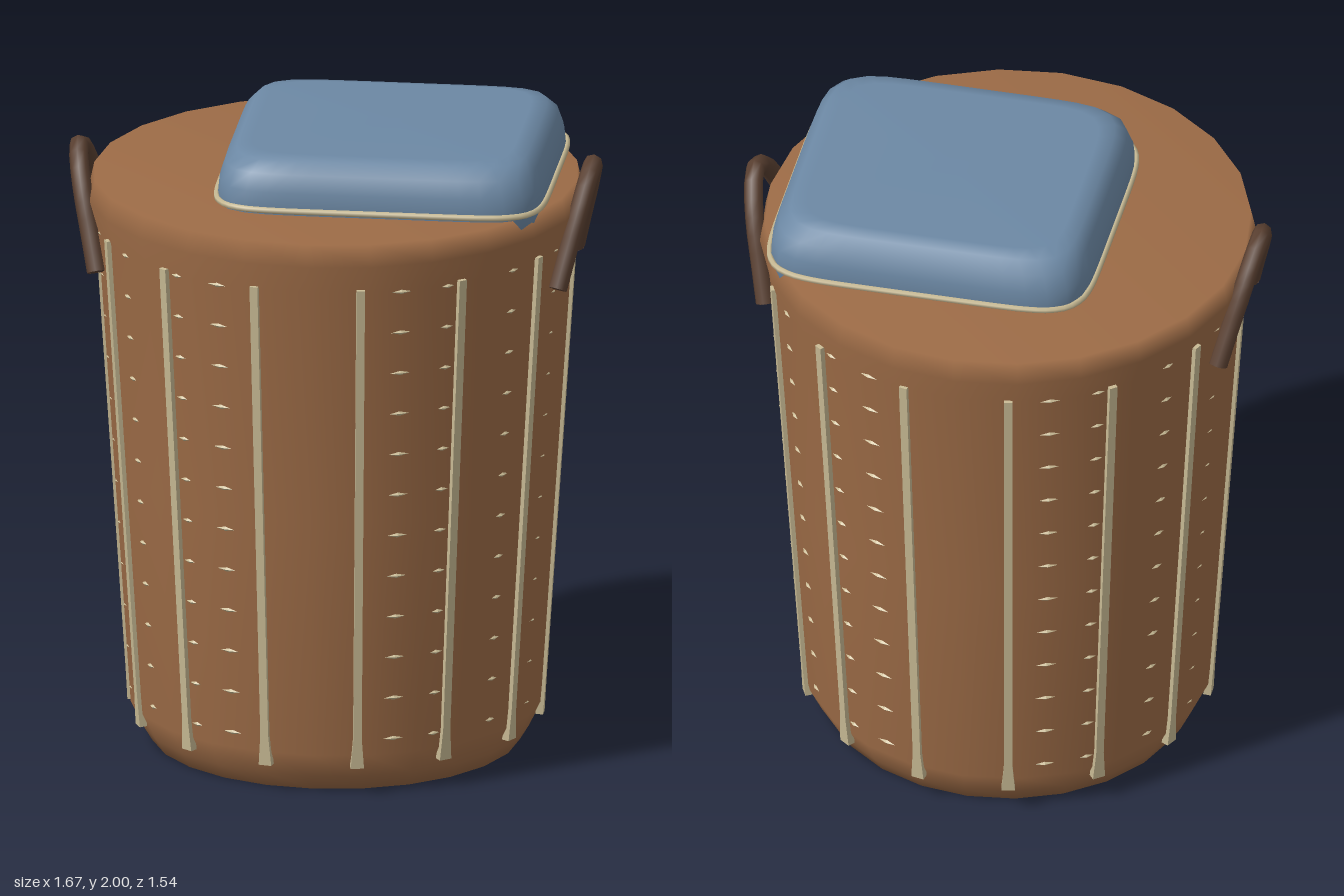
import * as THREE from 'three';

const mat = (color) => new THREE.MeshStandardMaterial({ color, side: THREE.DoubleSide });
const wicker = mat(0x9c6b46), cane = mat(0xc8ba94), leather = mat(0x5a4031), cloth = mat(0x6c88a4);

// Outer radius of the tapering wall at height y
const wallRadius = (y) => 0.643 + (y - 0.13) * 0.0665;

// Rounded-rectangle outline point (superellipse), t in 0..1
function outline(t, halfX, halfZ, y, target = new THREE.Vector3()) {
  const a = t * Math.PI * 2, c = Math.cos(a), s = Math.sin(a), n = 7;
  const k = (Math.abs(c) ** n + Math.abs(s) ** n) ** (-1 / n);
  return target.set(c * k * halfX, y, -s * k * halfZ);
}

function add(parent, name, geometry, material) {
  const mesh = new THREE.Mesh(geometry, material);
  mesh.name = name;
  parent.add(mesh);
  return mesh;
}

// Puffed cushion lofted from rounded-rectangle sections
function cushionGeometry() {
  const rings = [[0, 1.69], [0.78, 1.69], [0.86, 1.7], [0.93, 1.735], [0.965, 1.79], [0.98, 1.845],
    [0.97, 1.9], [0.935, 1.955], [0.87, 1.99], [0.78, 2], [0, 2]];
  const sides = 64, pos = [], index = [], p = new THREE.Vector3();
  rings.forEach(([s, y], r) => {
    const inset = 1 - s;
    for (let i = 0; i < sides; i++) {
      outline(i / sides, s && 0.52 - inset * 0.5, s && 0.48 - inset * 0.5, y, p);
      pos.push(p.x, p.y, p.z);
      if (r === rings.length - 1) continue;
      const a = r * sides + i, b = r * sides + (i + 1) % sides;
      index.push(a, b, b + sides, a, b + sides, a + sides);
    }
  });
  const g = new THREE.BufferGeometry();
  g.setAttribute('position', new THREE.Float32BufferAttribute(pos, 3));
  g.setIndex(index);
  g.computeVertexNormals();
  return g;
}

// Upright cane with a flared foot
function caneGeometry() {
  const g = new THREE.BoxGeometry(0.026, 1.594, 0.024, 1, 16, 1);
  const p = g.attributes.position;
  for (let i = 0; i < p.count; i++) {
    const foot = THREE.MathUtils.clamp((-0.74 - p.getY(i)) / 0.05, 0, 1);
    p.setX(i, p.getX(i) * (1 + 0.6 * foot));
  }
  return g;
}

// Bent leather loop with closed ends
function handle() {
  const group = new THREE.Group();
  const half = [[0.72, 1.545, 0.23], [0.745, 1.65, 0.185], [0.775, 1.77, 0.13], [0.795, 1.855, 0.065]];
  const pts = [...half, [0.803, 1.885, 0], ...half.map(([x, y, z]) => [x, y, -z]).reverse()]
    .map((p) => new THREE.Vector3(...p));
  const curve = new THREE.CatmullRomCurve3(pts);
  add(group, 'handleLoop', new THREE.TubeGeometry(curve, 16, 0.03, 8), leather);
  for (const t of [0, 1]) {
    const cap = add(group, 'handleEnd', new THREE.CircleGeometry(0.03, 8), leather);
    cap.position.copy(curve.getPoint(t));
    cap.lookAt(curve.getPoint(t).addScaledVector(curve.getTangent(t), t ? 1 : -1));
  }
  return group;
}

export function createModel() {
  const model = new THREE.Group();
  model.name = 'basket';

  // Basket body, closed at top and bottom
  const profile = [[0, 0], [0.575, 0], [0.605, 0.05], [0.643, 0.13], [0.694, 0.9], [0.745, 1.67],
    [0.77, 1.76], [0.755, 1.83], [0, 1.83]].map(([r, y]) => new THREE.Vector2(r, y));
  add(model, 'body', new THREE.LatheGeometry(profile, 24), wicker);

  // Fourteen upright canes
  const canes = new THREE.Group();
  canes.name = 'canes';
  model.add(canes);
  const caneShape = caneGeometry();
  for (let i = 0; i < 14; i++) {
    const spoke = new THREE.Group();
    spoke.rotation.y = Math.PI / 2 + (i / 14) * Math.PI * 2;
    const mesh = add(spoke, 'cane', caneShape, cane);
    mesh.position.set(0, 0.885, wallRadius(0.885) - 0.003);
    mesh.rotation.x = Math.atan(0.0665);
    canes.add(spoke);
  }

  // Short weave stitches showing between the canes
  const stitches = new THREE.Group();
  stitches.name = 'stitches';
  model.add(stitches);
  const stitchShape = new THREE.OctahedronGeometry(1);
  for (let row = 0; row < 12; row++) {
    const y = 0.18 + row * 0.135;
    for (const deg of [16, 35, 55, 67]) {
      for (const a of [deg, 180 - deg, 180 + deg, 360 - deg]) {
        const t = THREE.MathUtils.degToRad(a), r = wallRadius(y) * 0.993;
        const mesh = add(stitches, 'stitch', stitchShape, cane);
        mesh.position.set(Math.cos(t) * r, y, Math.sin(t) * r);
        mesh.rotation.y = Math.PI / 2 - t;
        mesh.scale.set(deg === 67 ? 0.032 : 0.022, 0.007, 0.007);
      }
    }
  }

  // Carrying handles on both sides
  for (const side of [1, -1]) {
    const loop = handle();
    loop.name = side > 0 ? 'leftHandle' : 'rightHandle';
    if (side < 0) loop.rotation.y = Math.PI;
    model.add(loop);
  }

  // Cushion with piping round its seam
  const cushion = new THREE.Group();
  cushion.name = 'cushion';
  cushion.position.x = 0.175;
  model.add(cushion);
  add(cushion, 'cushionPad', cushionGeometry(), cloth);
  const seam = Array.from({ length: 64 }, (_, i) => outline(i / 64, 0.513, 0.473, 1.845));
  add(cushion, 'piping', new THREE.TubeGeometry(new THREE.CatmullRomCurve3(seam, true), 128, 0.01, 6, true), cane);

  return model;
}
